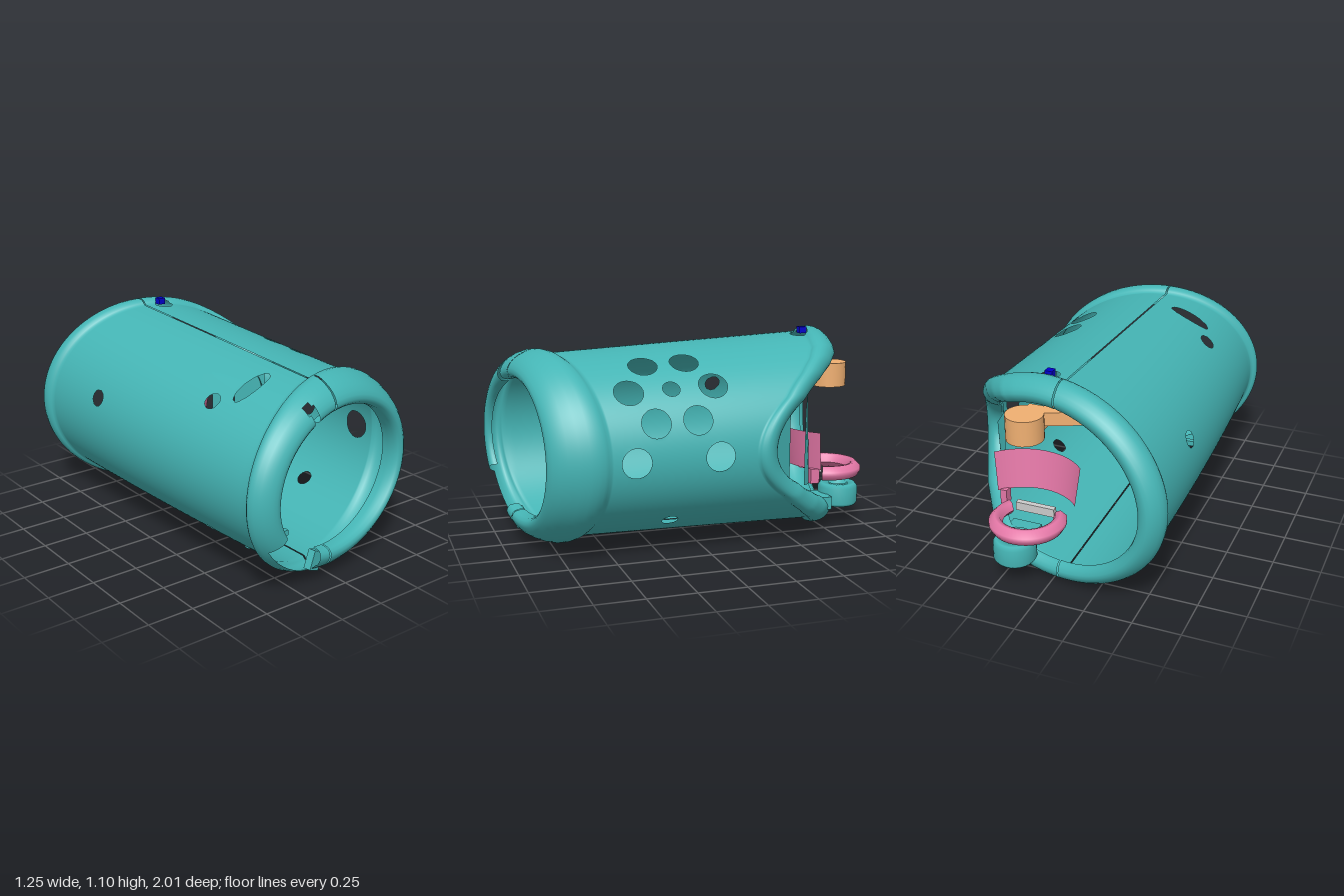
import * as THREE from 'three';

const { lerp, degToRad: rad } = THREE.MathUtils;
const paint = (color) => new THREE.MeshStandardMaterial({ color, side: THREE.DoubleSide });
const teal = paint(0x45b5b5), pink = paint(0xe377a6), orange = paint(0xf0b072), blue = paint(0x0000cc), grey = paint(0xcccccc);

// Piecewise linear lookup in [x, value] pairs
function lookup(table, x) {
  for (let i = 1; i < table.length; i++) {
    const [x0, v0] = table[i - 1], [x1, v1] = table[i];
    if (x <= x1 || i === table.length - 1) return lerp(v0, v1, Math.min(1, Math.max(0, (x - x0) / (x1 - x0))));
  }
}

// Oval cross-section of the tapering tube at depth z
function section(z) {
  const a = Math.min(1, Math.max(0, (z + 0.83) / 1.68));
  const left = lerp(-0.6, -0.535, a * a), right = lerp(0.61, 0.58, a);
  const top = lerp(1.08, 1.01, a), bottom = lerp(0.03, 0.06, a);
  return { cx: (left + right) / 2, cy: (top + bottom) / 2, rx: (right - left) / 2, ry: (top - bottom) / 2 };
}
function onTube(z, angle, grow = 0) {
  const s = section(z);
  return new THREE.Vector3(s.cx + (s.rx + grow) * Math.cos(angle), s.cy + (s.ry + grow) * Math.sin(angle), z);
}

// Slanted ends: where each rolled rim starts and where it ends
const frontStart = (x) => 0.72 - 0.29 * x;
const frontEnd = (x) => 0.93 - 0.13 * x;
const BACK = [[-0.6, -0.83], [0, -0.69], [0.27, -0.63], [0.35, -0.58], [0.43, -0.5], [0.52, -0.38], [0.6, -0.21]];
const backStart = (x) => lookup(BACK, x);
const backEnd = (x) => backStart(x) - lookup([[-0.6, 0.14], [0.2, 0.16], [0.6, 0.12]], x);

// Rim profiles: [share of rim length, radial offset]
const rim = (pts) => new THREE.CatmullRomCurve3(pts.map(([k, g]) => new THREE.Vector3(k, g, 0))).getPoints(14);
const frontRim = rim([[0, 0], [0.12, 0.022], [0.35, 0.028], [0.7, 0], [0.92, -0.04], [1, -0.08], [0.9, -0.11], [0.65, -0.115]]).reverse();
const backRim = rim([[0, 0], [0.15, 0.02], [0.5, 0.022], [0.85, -0.01], [1, -0.05], [0.88, -0.09], [0.55, -0.1]]);

// Holes: [angle, z, radius around, radius along]
const HOLES = [
  [42, 0.42, 0.075], [42, 0.2, 0.045], [42, -0.02, 0.075], [22, 0.31, 0.075], [22, 0.095, 0.075],
  [0, 0.42, 0.075], [0, -0.01, 0.075], [61, 0.305, 0.075], [61, 0.085, 0.075], [-46, 0.2, 0.042],
  [135, 0.43, 0.045], [225, 0.43, 0.045], [118, 0.555, 0.12, 0.045], [242, 0.555, 0.12, 0.045],
  [162, -0.38, 0.045], [85, -0.66, 0.05],
].map(([deg, z, r, along = r]) => ({ c: onTube(z, rad(deg)), r, along }));

// One side of the split shell, from the front lip over the wall to the back lip
function shellHalf(sign, cols) {
  const BODY = 84, rows = frontRim.length + BODY + backRim.length - 2;
  const seamX = -0.045 + sign * 0.0035;
  const pos = [], inside = [], angles = [], index = [];
  for (let i = 0; i < rows; i++) {
    for (let j = 0; j <= cols; j++) {
      const u = j / cols * 2 - 1;
      const nominal = sign > 0 ? u * 1.645 : Math.PI + u * (Math.PI - 1.645);
      const x = 0.6 * Math.cos(nominal);
      let z, grow = 0;
      if (i < frontRim.length) {
        z = lerp(frontStart(x), frontEnd(x), frontRim[i].x);
        grow = frontRim[i].y;
      } else if (i < frontRim.length + BODY - 1) {
        z = lerp(frontStart(x), backStart(x), (i - frontRim.length + 1) / BODY);
      } else {
        const p = backRim[i - frontRim.length - BODY + 1];
        z = lerp(backStart(x), backEnd(x), p.x);
        grow = p.y;
      }
      // Keep the seam straight at a constant x
      const s = section(z), seam = Math.acos((seamX - s.cx) / (s.rx + grow));
      const angle = sign > 0 ? u * seam : Math.PI + u * (Math.PI - seam);
      const p = onTube(z, angle, grow);
      // Pull points inside a hole out to its edge
      let hit = false;
      for (const h of HOLES) {
        const d = p.clone().sub(h.c);
        const k = Math.hypot(d.x / h.r, d.y / h.r, d.z / h.along);
        if (k < 1) {
          hit = true;
          if (k > 0.01) p.copy(h.c).addScaledVector(d, 1 / k);
        }
      }
      pos.push(p.x, p.y, p.z);
      inside.push(hit);
      angles.push(angle * 180 / Math.PI);
    }
  }
  for (let i = 0; i < rows - 1; i++) {
    for (let j = 0; j < cols; j++) {
      const a = i * (cols + 1) + j, b = a + cols + 1, t = angles[a];
      // Gaps in the front lip
      if (i < 8 && ((t > 209 && t < 251) || (t > 112 && t < 117))) continue;
      for (const tri of [[a, b, a + 1], [a + 1, b, b + 1]]) {
        if (!tri.every((v) => inside[v])) index.push(...tri);
      }
    }
  }
  const g = new THREE.BufferGeometry();
  g.setAttribute('position', new THREE.Float32BufferAttribute(pos, 3));
  g.setIndex(index);
  g.computeVertexNormals();
  return g;
}

// Flat four-cornered sheet
function sheet(corners) {
  const g = new THREE.BufferGeometry();
  g.setAttribute('position', new THREE.Float32BufferAttribute(corners.flat(), 3));
  g.setIndex([0, 1, 2, 0, 2, 3]);
  g.computeVertexNormals();
  return g;
}

export function createModel() {
  const model = new THREE.Group();
  const add = (name, geometry, material, x = 0, y = 0, z = 0, turn = 0) => {
    const m = new THREE.Mesh(geometry, material);
    m.name = name;
    m.position.set(x, y, z);
    m.rotation.y = turn;
    model.add(m);
    return m;
  };
  const box = (w, h, d) => new THREE.BoxGeometry(w, h, d);

  add('shellRight', shellHalf(1, 116), teal);
  add('shellLeft', shellHalf(-1, 104), teal);

  // Inner sheets beside the side cut-out
  add('sidePanel', sheet([[0.52, 0.42, -0.3], [0.42, 0.27, -0.46], [0.42, 0.8, -0.46], [0.52, 0.7, -0.3]]), teal);
  add('sideStrip', sheet([[0.36, 0.3, -0.6], [0.34, 0.8, -0.59], [0.41, 0.7, -0.55], [0.385, 0.3, -0.56]]), teal);

  // Small tabs on the floor and the marker on top
  add('floorRail', box(0.26, 0.03, 0.03), teal, -0.18, 0.145, 0.6);
  const tab = add('lipTab', box(0.07, 0.1, 0.04), teal, -0.11, 0.12, 0.88, 0.2);
  tab.rotation.z = -0.4;
  add('marker', box(0.04, 0.035, 0.04), blue, 0.045, 1.09, -0.68);

  // Round foot under the ring
  const foot = [[0, 0], [0.1, 0], [0.11, 0.015], [0.11, 0.1], [0.095, 0.12], [0.05, 0.12], [0.05, 0.08], [0, 0.08]];
  add('foot', new THREE.LatheGeometry(foot.map((p) => new THREE.Vector2(...p)), 32), teal, 0.18, 0.125, -0.86);
  add('footBracket', box(0.16, 0.07, 0.14), teal, 0.22, 0.16, -0.7);

  // Curved band with a flared top
  add('band', new THREE.CylinderGeometry(0.317, 0.285, 0.21, 32, 1, true, -0.85, 1.7), pink, 0.148, 0.475, -0.857);
  add('bandArm', box(0.035, 0.08, 0.05), pink, 0.335, 0.335, -0.64);

  // Open ring with bevelled edges
  const ring = [[0.125, 0.03], [0.15, 0], [0.18, 0], [0.195, 0.025], [0.195, 0.045], [0.165, 0.075], [0.14, 0.07], [0.125, 0.03]];
  add('ring', new THREE.LatheGeometry(ring.map((p) => new THREE.Vector2(...p)), 40, rad(60), rad(240)), pink, 0.13, 0.29, -0.805);
  add('clip', box(0.21, 0.045, 0.03), grey, 0.125, 0.345, -0.72);

  // Hanging post with its arm
  add('post', new THREE.CylinderGeometry(0.095, 0.095, 0.13, 24), orange, 0.125, 0.855, -0.81);
  add('postBlock', box(0.1, 0.1, 0.08), orange, 0.1, 0.87, -0.74);
  add('postArm', box(0.25, 0.07, 0.07), orange, -0.03, 0.885, -0.7, 0.4);
  return model;
}
